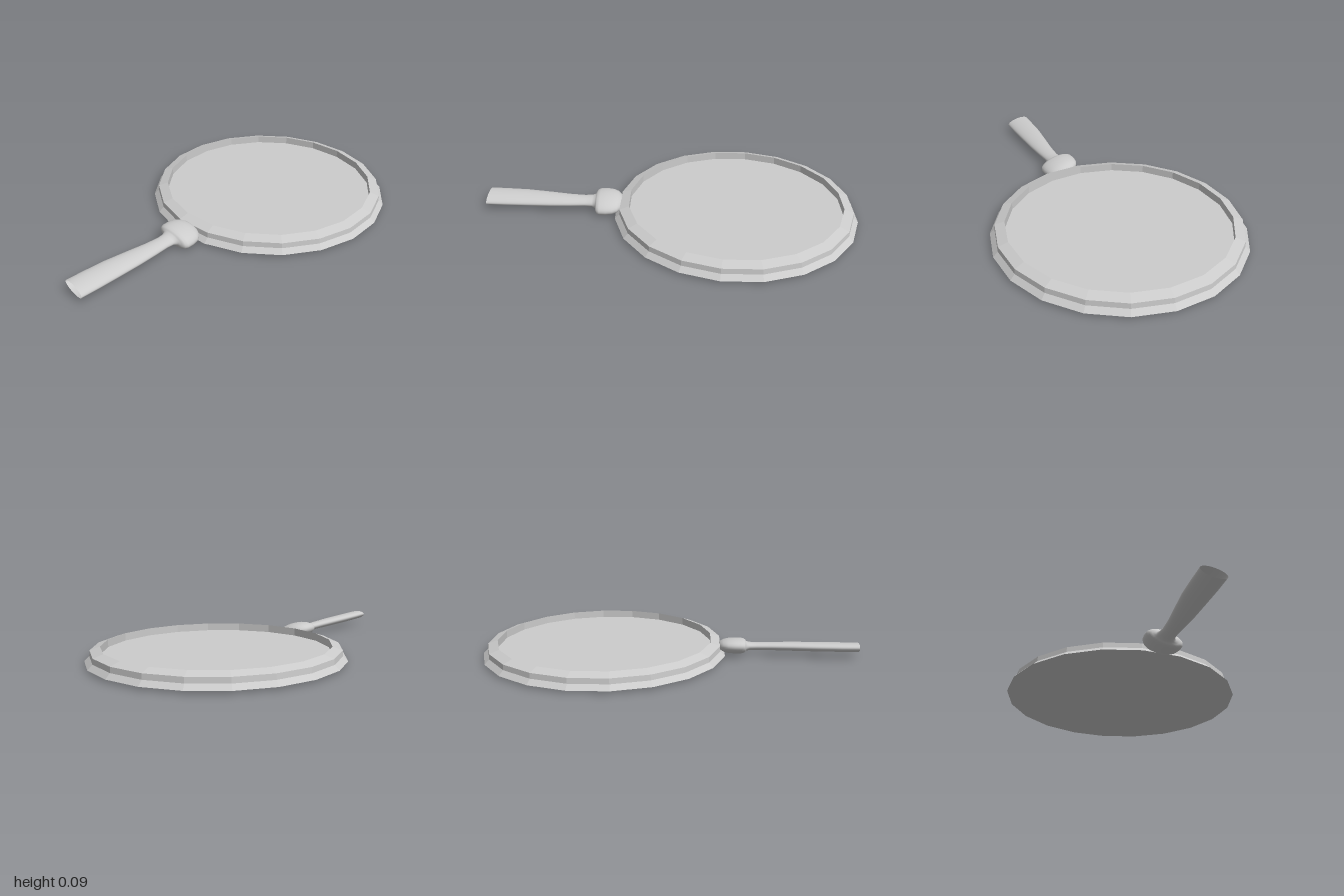
import * as THREE from 'three';

const SIDES = 20;

// Faceted ring or disc turned from a profile of [radius, height] pairs
function turned(name, profile, material) {
  const points = profile.map(([r, y]) => new THREE.Vector2(r, y));
  const geometry = new THREE.LatheGeometry(points, SIDES, Math.PI / SIDES);
  const mesh = new THREE.Mesh(geometry, material);
  mesh.name = name;
  mesh.position.z = -0.36;
  return mesh;
}

// Smooth loft along z through tilted ellipses: [z, centreX, centreY, halfWidth, halfHeight]
function loft(name, sections, material, slant = 0, around = 32) {
  const positions = [], index = [];
  const tilt = -0.21, c = Math.cos(tilt), s = Math.sin(tilt);
  sections.forEach(([z, cx, cy, a, b], i) => {
    for (let j = 0; j < around; j++) {
      const t = (j / around) * Math.PI * 2;
      const u = a * Math.cos(t), v = b * Math.sin(t);
      const skew = i === sections.length - 1 ? slant * Math.cos(t) : 0;
      positions.push(cx + u * c - v * s, cy + u * s + v * c, z + skew);
      if (i > 0) {
        const k = (j + 1) % around, p = (i - 1) * around, q = i * around;
        index.push(p + j, p + k, q + j, p + k, q + k, q + j);
      }
    }
  });
  const geometry = new THREE.BufferGeometry();
  geometry.setAttribute('position', new THREE.Float32BufferAttribute(positions, 3));
  geometry.setIndex(index);
  geometry.computeVertexNormals();
  const mesh = new THREE.Mesh(geometry, material);
  mesh.name = name;
  return mesh;
}

export function createModel() {
  const group = new THREE.Group();
  group.name = 'handMirror';
  const faceted = new THREE.MeshStandardMaterial({ color: 0xcccccc, flatShading: true });
  const smooth = new THREE.MeshStandardMaterial({ color: 0xcccccc, side: THREE.DoubleSide });

  // Frame: flat back, flared foot, upright side, bevel and inner wall
  group.add(turned('frame', [
    [0, 0.015], [0.655, 0.015], [0.63, 0.04], [0.628, 0.068], [0.577, 0.085], [0.577, 0.045],
  ], faceted));

  // Recessed mirror glass
  group.add(turned('glass', [[0.577, 0.045], [0, 0.045]], faceted));

  // Domed collar flowing into a hollow grip that widens to an open end
  group.add(loft('handle', [
    [0.252, -0.02, 0.05, 0.0005, 0.0005],
    [0.254, -0.02, 0.05, 0.03, 0.013],
    [0.262, -0.02, 0.05, 0.057, 0.025],
    [0.28, -0.02, 0.05, 0.08, 0.034],
    [0.305, -0.02, 0.05, 0.094, 0.04],
    [0.34, -0.02, 0.05, 0.1, 0.043],
    [0.375, -0.02, 0.05, 0.099, 0.042],
    [0.39, -0.02, 0.05, 0.092, 0.038],
    [0.398, -0.022, 0.05, 0.075, 0.032],
    [0.402, -0.024, 0.05, 0.054, 0.026],
    [0.42, -0.026, 0.05, 0.043, 0.022],
    [0.46, -0.026, 0.05, 0.04, 0.021],
    [0.54, -0.027, 0.051, 0.045, 0.022],
    [0.65, -0.033, 0.053, 0.054, 0.024],
    [0.78, -0.042, 0.055, 0.062, 0.025],
    [0.9, -0.047, 0.056, 0.065, 0.025],
    [0.995, -0.051, 0.057, 0.065, 0.024],
  ], smooth, 0.005));

  return group;
}
